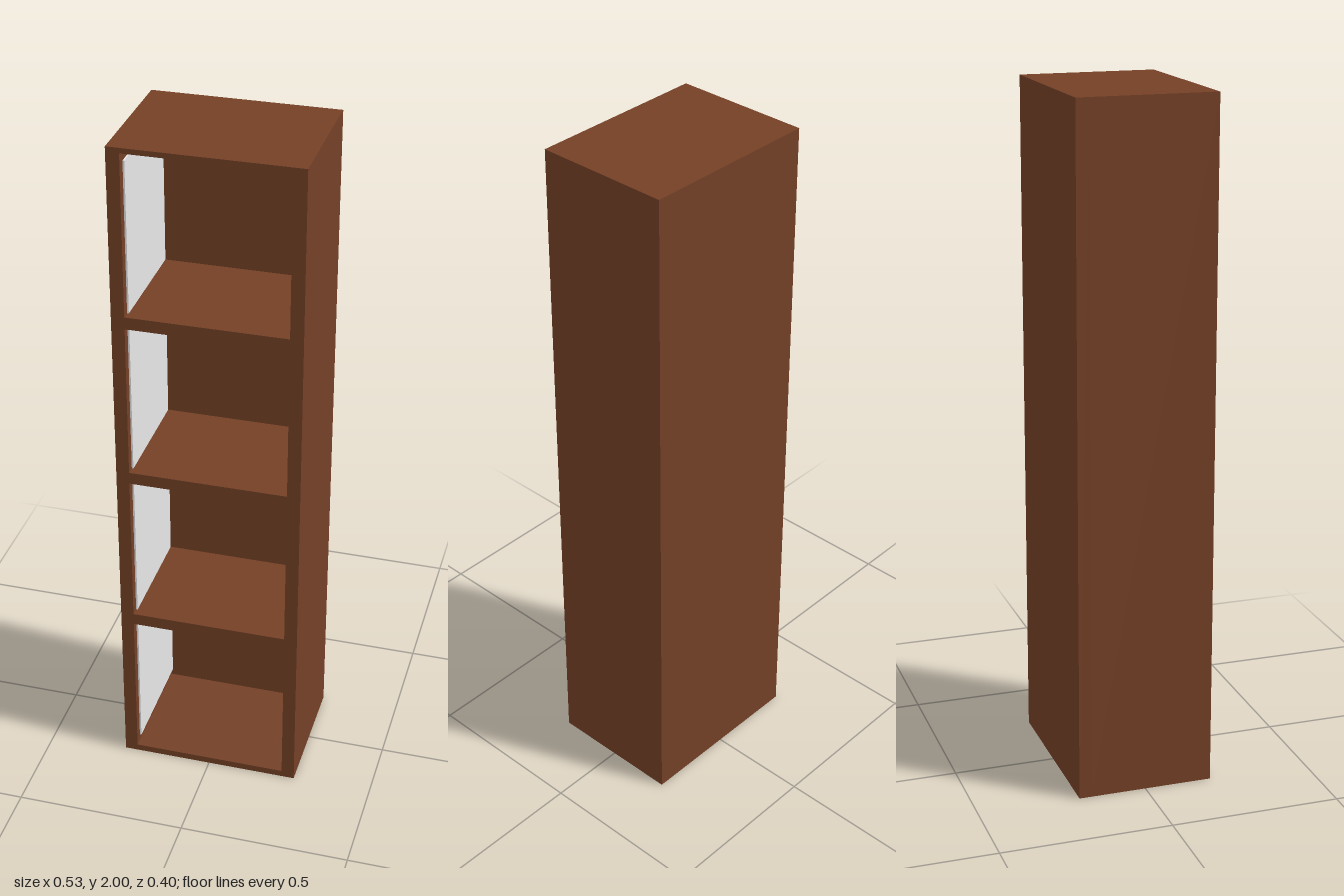
import * as THREE from 'three';

export function createModel() {
  const group = new THREE.Group();
  group.name = 'bookcase';
  const wood = new THREE.MeshStandardMaterial({ color: 0x744026 });
  wood.name = 'brown wood';
  const pale = new THREE.MeshStandardMaterial({ color: 0xe6e6e6 });
  pale.name = 'pale lining';

  // Adds a board spanning the given [min, max] ranges
  function board(name, [x0, x1], [y0, y1], [z0, z1], material = wood) {
    const mesh = new THREE.Mesh(new THREE.BoxGeometry(x1 - x0, y1 - y0, z1 - z0), material);
    mesh.position.set((x0 + x1) / 2, (y0 + y1) / 2, (z0 + z1) / 2);
    mesh.name = name;
    group.add(mesh);
  }

  const W = 0.267, D = 0.2, T = 0.038; // half width, half depth, board thickness
  const base = 0.02;
  const inner = [-W + T, W - T];
  const depth = [-D + T, D];

  // Carcass
  board('basePanel', [-W, W], [0, base], [-D, D]);
  board('backPanel', [-W, W], [base, 2], [-D, -D + T]);
  board('rightSide', [-W, -W + T], [base, 2], depth);
  board('leftSide', [W - T, W], [base, 2], depth);
  board('topPanel', inner, [1.985, 2], depth);

  // Shelves
  for (const y of [0.485, 0.98, 1.475]) board('shelf', inner, [y, y + 0.036], depth);

  // Thin lining on the inner face of the right side
  board('sideLining', [-W + T, -W + T + 0.005], [0.04, 1.955], [-D + T, 0.175], pale);

  return group;
}
